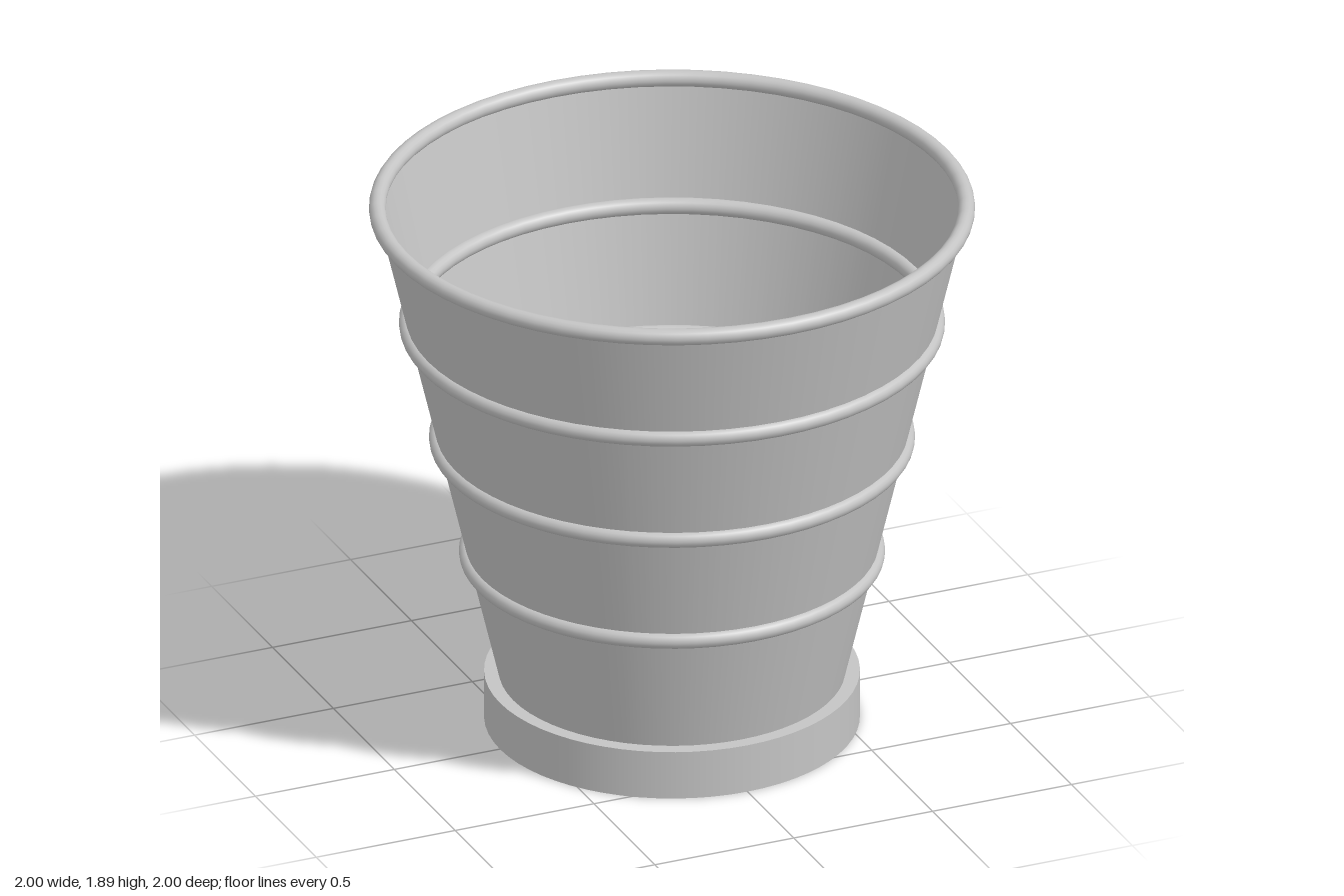
import * as THREE from 'three';

const SIDES = 64;

export function createModel() {
  const group = new THREE.Group();
  group.name = 'ribbedBucket';
  const grey = new THREE.MeshStandardMaterial({ color: 0xc4c4c4, side: THREE.DoubleSide });
  grey.name = 'light grey';

  const add = (name, geometry, y) => {
    const mesh = new THREE.Mesh(geometry, grey);
    mesh.name = name;
    mesh.position.y = y;
    group.add(mesh);
  };

  // Solid foot; its top is also the floor of the bucket
  const footHeight = 0.17, footRadius = 0.62;
  add('foot', new THREE.CylinderGeometry(footRadius, footRadius, footHeight, SIDES), footHeight / 2);

  // Thin flared wall, open at both ends
  const wallTop = 1.867, topRadius = 0.972, bottomRadius = 0.572;
  const wallHeight = wallTop - footHeight;
  add('wall', new THREE.CylinderGeometry(topRadius, bottomRadius, wallHeight, SIDES, 1, true),
    footHeight + wallHeight / 2);

  // Rolled rim and three ribs, each centred on the wall
  const tube = 0.028;
  const ring = (name, y) => {
    const t = (y - footHeight) / wallHeight;
    const radius = THREE.MathUtils.lerp(bottomRadius, topRadius, t);
    add(name, new THREE.TorusGeometry(radius, tube, 16, SIDES).rotateX(Math.PI / 2), y);
  };
  ring('rim', wallTop);
  [1.447, 1.027, 0.608].forEach((y, i) => ring('rib' + (i + 1), y));

  return group;
}
